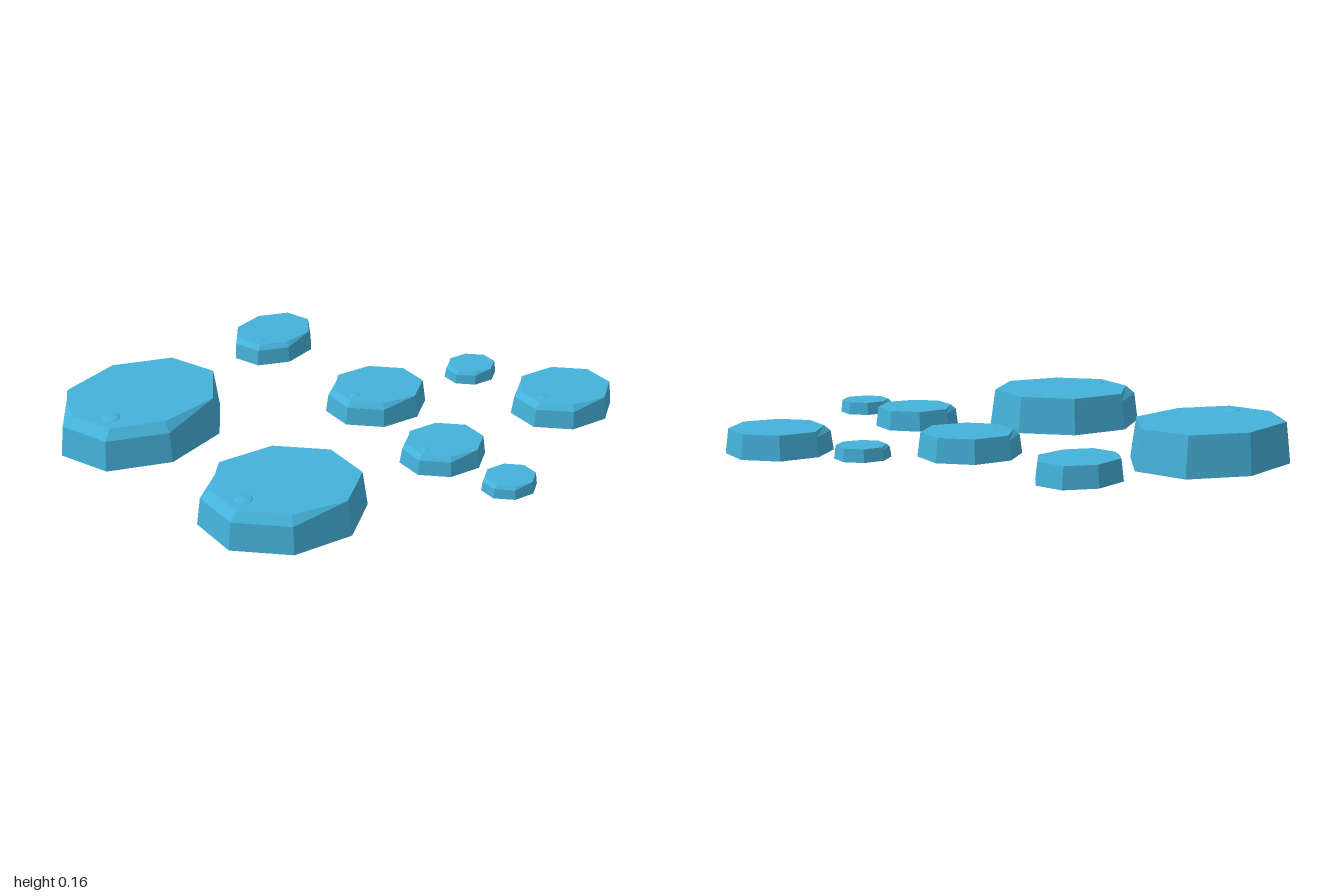
import * as THREE from 'three';

const SIDES = 8;

// Hollow, open-bottomed octagonal stone; its front-left corners are chamfered at the top
function stoneGeometry(a) {
  const b = a / 1.3, h = a * 0.473;
  const point = (i, ring) => {
    const k = i % SIDES, t = (k / SIDES) * Math.PI * 2;
    const chamfered = k >= 2 && k <= 4;
    const s = [1, 0.95, chamfered ? 0.83 : 0.935][ring];
    return [a * s * Math.cos(t), h * [0, 0.78, 1][ring], b * s * Math.sin(t)];
  };
  const pos = [];
  for (let i = 0; i < SIDES; i++) {
    for (let r = 0; r < 2; r++) {
      const p = point(i, r), q = point(i + 1, r), u = point(i, r + 1), v = point(i + 1, r + 1);
      pos.push(...p, ...u, ...q, ...q, ...u, ...v);
    }
    pos.push(0, h, 0, ...point(i + 1, 2), ...point(i, 2));
  }
  const g = new THREE.BufferGeometry();
  g.setAttribute('position', new THREE.Float32BufferAttribute(pos, 3));
  g.computeVertexNormals();
  return g;
}

export function createModel() {
  const model = new THREE.Group();
  model.name = 'steppingStones';
  const blue = new THREE.MeshStandardMaterial({ color: 0x45b2da, flatShading: true, side: THREE.DoubleSide });
  blue.name = 'stone blue';

  // x, base height, z, long radius, turn in degrees
  const stones = [
    [-0.706, 0, -0.166, 0.317, 20.7],
    [-0.29, 0.01, 0.446, 0.29, 0],
    [-0.163, 0.055, -0.548, 0.164, 19.5],
    [0.145, 0.035, -0.102, 0.186, 0],
    [0.807, 0.035, 0.04, 0.19, 0],
    [0.297, 0.056, 0.293, 0.153, 0],
    [0.526, 0.064, -0.2, 0.098, 0],
    [0.473, 0.064, 0.512, 0.098, 0],
  ];

  stones.forEach(([x, y, z, a, turn], i) => {
    const stone = new THREE.Group();
    stone.name = `stone${i + 1}`;
    const body = new THREE.Mesh(stoneGeometry(a), blue);
    body.name = 'stoneBody';

    // Small shallow bump near the chamfered corner
    const bump = new THREE.Mesh(new THREE.SphereGeometry(1, 12, 3, 0, Math.PI * 2, 0, Math.PI / 2), blue);
    bump.name = 'topBump';
    bump.scale.set(a * 0.11, a * 0.022, a * 0.1);
    bump.position.set(-a * 0.48, a * 0.473 - 0.001, a * 0.26);

    stone.add(body, bump);
    stone.position.set(x, y, z);
    stone.rotation.y = THREE.MathUtils.degToRad(turn);
    model.add(stone);
  });
  return model;
}
